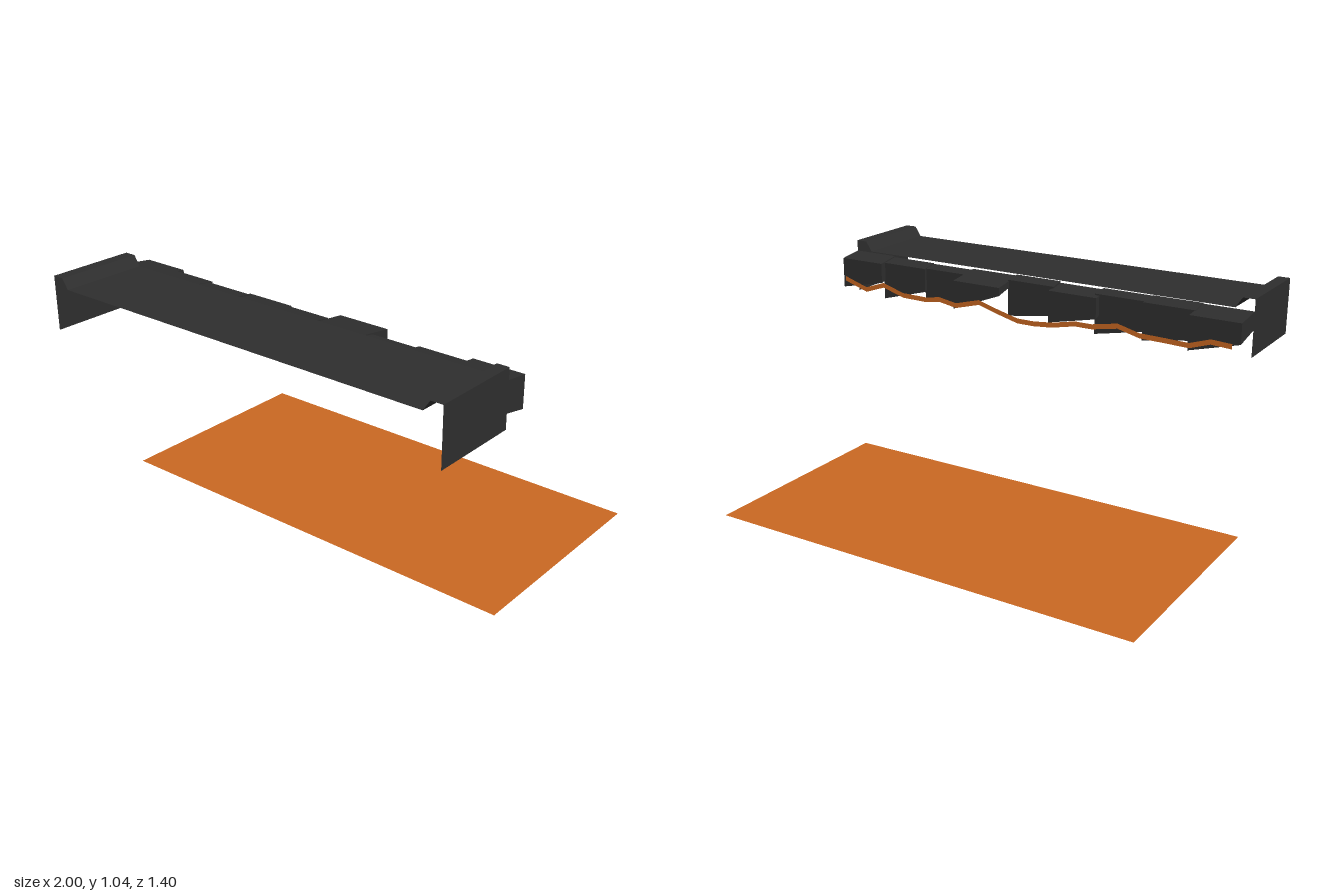
import * as THREE from 'three';

const black = new THREE.MeshStandardMaterial({ color: 0x2e2e2e, side: THREE.DoubleSide });
black.name = 'charcoal';
const orange = new THREE.MeshStandardMaterial({ color: 0xcb6922, side: THREE.DoubleSide });
orange.name = 'orange';

// Flat-shaded geometry from a list of four-cornered faces
function quads(faces) {
  const pos = [];
  for (const [a, b, c, d] of faces) pos.push(...a, ...b, ...c, ...a, ...c, ...d);
  const g = new THREE.BufferGeometry();
  g.setAttribute('position', new THREE.Float32BufferAttribute(pos, 3));
  g.computeVertexNormals();
  return g;
}

// Open sheet: an x,y profile swept from z0 (front) to z1 (back)
function sheet(profile, z0, z1) {
  const faces = [];
  for (let i = 0; i < profile.length - 1; i++) {
    const [ax, ay] = profile[i], [bx, by] = profile[i + 1];
    faces.push([[ax, ay, z0], [bx, by, z0], [bx, by, z1], [ax, ay, z1]]);
  }
  return quads(faces);
}

// Wedge block with a slanted bottom; top and bottom both fall towards the back
function block(x0, x1, top, b0, b1, zBack) {
  const zf = 0.3, d = zf - zBack, w = 0.004;
  const f = [[x0, b0 + 0.2 * d, zf], [x1, b1 + 0.2 * d, zf], [x1, top, zf], [x0, top, zf]];
  const yb = top - 0.13 * d;
  const l = Math.max(-1, x0 - w), r = Math.min(1, x1 + w);
  const k = [[l, b0, zBack], [r, b1, zBack], [r, yb, zBack], [l, yb, zBack]];
  return quads([
    f, [k[1], k[0], k[3], k[2]],
    [f[3], f[2], k[2], k[3]], [k[0], k[1], f[1], f[0]],
    [f[1], k[1], k[2], f[2]], [k[0], f[0], f[3], k[3]],
  ]);
}

export function createModel() {
  const model = new THREE.Group();
  const add = (geometry, material, name) => {
    const m = new THREE.Mesh(geometry, material);
    m.name = name;
    model.add(m);
  };

  // Ground sheet
  add(sheet([[-1, 0], [1, 0]], 0.3, -0.7), orange, 'groundSheet');

  // Raised deck with a bevelled kerb and hanging plate at each end
  add(sheet([[-0.917, 1], [0.917, 1]], 0.7, 0.3), black, 'deck');
  for (const [s, side] of [[1, 'left'], [-1, 'right']]) {
    const kerb = [[0.917, 1], [0.947, 1.045], [1, 1.045]].map(([x, y]) => [s * x, y]);
    const plate = [[s, 1.045], [s, 0.8]];
    if (s < 0) { kerb.reverse(); plate.reverse(); }
    add(sheet(kerb, 0.7, 0.3), black, side + 'Kerb');
    add(sheet(plate, 0.7, 0.3), black, side + 'EndPlate');
  }

  // Ragged blocks under the back edge: x0, x1, top, bottom at x0, bottom at x1, back z
  [
    [-1, -0.78, 0.995, 0.89, 0.83, 0.17],
    [-0.78, -0.555, 0.998, 0.86, 0.822, 0.215],
    [-0.555, -0.325, 0.996, 0.858, 0.81, 0.23],
    [-0.338, -0.115, 0.99, 0.885, 0.835, 0.2],
    [-0.115, 0.107, 0.997, 0.858, 0.824, 0.23],
    [0.107, 0.338, 0.992, 0.935, 0.843, 0.142],
    [0.338, 0.555, 0.987, 0.848, 0.83, 0.235],
    [0.555, 0.78, 0.99, 0.872, 0.808, 0.22],
    [0.78, 1, 0.995, 0.89, 0.842, 0.19],
  ].forEach((b, i) => add(block(...b), black, 'edgeBlock' + (i + 1)));

  // Wavy flat ribbon just behind the blocks
  const path = [
    [-0.98, 0.89], [-0.89, 0.895], [-0.8, 0.865], [-0.69, 0.868], [-0.58, 0.87],
    [-0.48, 0.895], [-0.36, 0.873], [-0.28, 0.873], [-0.17, 0.85], [-0.08, 0.842],
    [0, 0.842], [0.1, 0.867], [0.2, 0.895], [0.32, 0.863], [0.41, 0.878],
    [0.48, 0.866], [0.61, 0.868], [0.72, 0.9], [0.82, 0.866], [0.94, 0.903],
  ];
  const h = 0.011, z = 0.13, ribbon = [];
  for (let i = 0; i < path.length - 1; i++) {
    const [ax, ay] = path[i], [bx, by] = path[i + 1];
    ribbon.push([[ax, ay - h, z], [bx, by - h, z], [bx, by + h, z], [ax, ay + h, z]]);
  }
  add(quads(ribbon), orange, 'wavyRibbon');
  return model;
}
